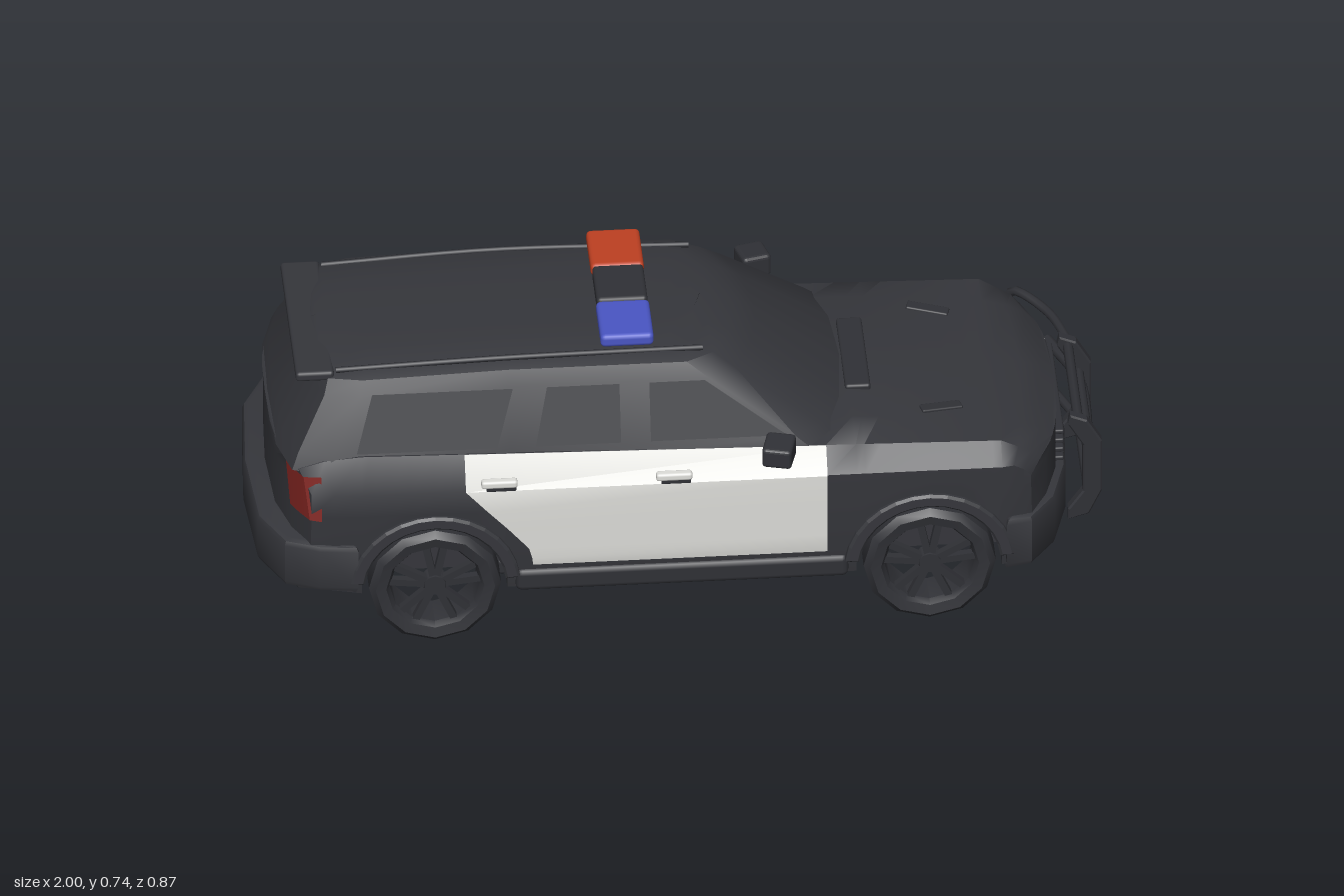
import * as THREE from 'three';
import { toCreasedNormals } from 'three/addons/utils/BufferGeometryUtils.js';
import { RoundedBoxGeometry } from 'three/addons/geometries/RoundedBoxGeometry.js';

const mat = (name, color, side = THREE.FrontSide) => {
  const m = new THREE.MeshStandardMaterial({ color, side });
  m.name = name;
  return m;
};
const M = {
  paint: mat('blackPaint', 0x35363b),
  trim: mat('blackTrim', 0x303136, THREE.DoubleSide),
  glass: mat('darkGlass', 0x323338),
  white: mat('whitePaint', 0xdededa),
  blue: mat('blueLens', 0x4a56c4),
  red: mat('redLens', 0xbe4022),
  tail: mat('tailRed', 0x7e2420),
};
const V = (x, y, z) => new THREE.Vector3(x, y, z);
const V2 = (x, y) => new THREE.Vector2(x, y);
const WHEEL_X = 0.58, WHEEL_R = 0.155, ARCH_R = 0.17, W = 0.375;

// Surface through rows of points; closed joins each row's end to its start
function surface(rows, flip = false, closed = false) {
  const n = rows[0].length, idx = [];
  for (let i = 0; i < rows.length - 1; i++) {
    for (let j = 0; j < (closed ? n : n - 1); j++) {
      const a = i * n + j, b = a + n, d = i * n + (j + 1) % n, c = d + n;
      if (flip) idx.push(a, c, b, a, d, c);
      else idx.push(a, b, c, a, c, d);
    }
  }
  const g = new THREE.BufferGeometry().setFromPoints(rows.flat());
  g.setIndex(idx);
  return toCreasedNormals(g, 0.65);
}
const mirrorRing = half => [...half, ...half.slice(1, -1).reverse().map(p => V(p.x, p.y, -p.z))];

// Rounds the nose and tail in plan
function wrap(p) {
  const k = Math.pow(Math.abs(p.z) / 0.38, 3);
  if (p.x > 0.75) p.x -= (p.x - 0.75) / 0.17 * 0.11 * k;
  else if (p.x < -0.75) p.x += (-0.75 - p.x) / 0.25 * 0.12 * k;
  return p;
}
const shoulder = x => 0.483 - 0.0235 * x;

// Lower body cross-section at one station
function section({ x, top, sh = shoulder(x), w = W, fl = 0.13, yb = fl, zs = 1 }) {
  const pts = [[fl, 0], [fl, 0.265], [yb, 0.265], [yb, w - 0.02], [Math.max(0.22, yb), w - 0.005],
    [Math.min(0.36, sh - 0.05), w], [Math.min(0.42, sh - 0.02), w], [sh, w - 0.045],
    [top - 0.008, w - 0.13], [top, 0]];
  return mirrorRing(pts.map(([y, z]) => wrap(V(x, y, z * zs))));
}

function bodyGeometry() {
  const st = [];
  const tail = { x: -0.95, top: 0.475, sh: 0.465, w: 0.36, fl: 0.16 };
  for (const zs of [0, 0.5, 0.8, 1]) st.push({ ...tail, zs });
  st.push({ x: -0.87, top: 0.485, sh: 0.49, w: 0.37, fl: 0.14 });
  const arch = (cx, topAt) => {
    for (const d of [-0.1705, -0.17, -0.15, -0.11, -0.06, 0, 0.06, 0.11, 0.15, 0.17, 0.1705]) {
      const yb = Math.abs(d) > ARCH_R ? 0.13 : WHEEL_R + Math.sqrt(ARCH_R * ARCH_R - d * d);
      st.push({ x: cx + d, top: topAt(cx + d), yb });
    }
  };
  arch(-WHEEL_X, () => 0.49);
  st.push({ x: 0.34, top: 0.5 });
  arch(WHEEL_X, x => 0.503 - 0.09 * (x - 0.41));
  st.push({ x: 0.82, top: 0.458, sh: 0.442, w: 0.37 }, { x: 0.87, top: 0.44, sh: 0.425, w: 0.365 });
  for (const zs of [1, 0.8, 0.5, 0]) st.push({ x: 0.9, top: 0.412, sh: 0.402, w: 0.358, fl: 0.15, zs });
  return surface(st.map(section), false, true);
}

// Cabin built from stacked plan rings
function cabinGeometry() {
  const ring = (y, xr, xf, z, zs = 1) => mirrorRing([
    [xr, 0], [xr + 0.01, 0.6], [xr + 0.04, 0.92], [xr + 0.12, 1], [-0.4, 1], [xf - 0.13, 1],
    [xf - 0.065, 0.86], [xf - 0.02, 0.5], [xf, 0],
  ].map(([x, f]) => V(x, y - 0.04 * Math.max(0, -0.45 - x) * (y > 0.6), z * f * zs)));
  return surface([ring(0.46, -0.95, 0.45, 0.338), ring(0.5, -0.935, 0.4, 0.324), ring(0.64, -0.87, 0.2, 0.27),
    ring(0.675, -0.86, 0.15, 0.25), ring(0.688, -0.85, 0.1, 0.215), ring(0.694, -0.84, 0.07, 0.21, 0.6),
    ring(0.697, -0.84, 0.07, 0.21, 0)], true, true);
}

export function createModel() {
  const root = new THREE.Group();
  root.name = 'patrolCar';
  const add = (name, geo, material, x = 0, y = 0, z = 0, parent = root) => {
    const m = new THREE.Mesh(geo, material);
    m.name = name;
    m.position.set(x, y, z);
    parent.add(m);
    return m;
  };
  const box = (name, m, w, h, d, x, y, z, r = 0.008) =>
    add(name, new RoundedBoxGeometry(w, h, d, 2, Math.min(r, w / 3, h / 3, d / 3)), m, x, y, z);
  const tube = (name, pts, r, m = M.trim) =>
    add(name, new THREE.TubeGeometry(new THREE.CatmullRomCurve3(pts, false, 'centripetal'), pts.length * 4, r, 8), m);

  add('body', bodyGeometry(), M.paint);
  add('cabin', cabinGeometry(), M.paint);

  // Bumpers: plan outline extruded downwards
  const bumper = (name, half, top, h) => {
    const shape = new THREE.Shape([...half, ...half.slice(0, -1).reverse().map(p => V2(p.x, -p.y))]);
    const g = new THREE.ExtrudeGeometry(shape, { depth: h - 0.03, bevelThickness: 0.015, bevelSize: 0.015, bevelOffset: -0.015, bevelSegments: 2 });
    g.rotateX(Math.PI / 2);
    add(name, toCreasedNormals(g, 0.6), M.paint, 0, top - 0.015, 0);
  };
  bumper('rearBumper', [V2(-0.76, 0.383), V2(-0.85, 0.372), V2(-0.93, 0.34), V2(-0.985, 0.23), V2(-1, 0)], 0.28, 0.13);
  bumper('rearValance', [V2(-0.76, 0.36), V2(-0.9, 0.33), V2(-0.96, 0.2), V2(-0.965, 0)], 0.18, 0.05);
  bumper('frontBumper', [V2(0.76, 0.386), V2(0.82, 0.372), V2(0.88, 0.29), V2(0.915, 0.16), V2(0.925, 0)], 0.275, 0.14);
  bumper('frontLip', [V2(0.76, 0.34), V2(0.82, 0.31), V2(0.88, 0.2), V2(0.89, 0)], 0.16, 0.06);
  box('underTray', M.trim, 0.85, 0.04, 0.54, 0, 0.125, 0);

  // Grille, hood and roof details
  for (const y of [0.3, 0.325, 0.35, 0.375]) box('grilleSlat', M.trim, 0.03, 0.012, 0.36, 0.895, y, 0, 0.004);
  box('cowl', M.trim, 0.06, 0.02, 0.28, 0.43, 0.498, 0);
  box('spoiler', M.paint, 0.09, 0.025, 0.46, -0.85, 0.664, 0, 0.01);

  for (const s of [1, -1]) {
    const side = s > 0 ? 'left' : 'right';
    const flip = s < 0;

    // White door panel following the body side
    const doorRows = [[0.2, -0.35, 0.009], [0.22, -0.352, 0.005], [0.25, -0.36, 0.004], [0.31, -0.41, 0.002],
      [0.36, -0.455, 0], [0.42, -0.508, 0], [null, -0.508, 0.045]]
      .map(([y, x0, inset]) => [x0, 0.34].map(x => V(x, y ?? shoulder(x) + 0.002, s * (W - inset + 0.004))));
    add(side + 'DoorPanel', surface(doorRows, !flip), M.white);
    for (const x of [-0.43, -0.02]) {
      box(side + 'HandleRecess', M.trim, 0.07, 0.014, 0.008, x + 0.005, 0.427, s * 0.378, 0.003);
      box(side + 'Handle', M.white, 0.085, 0.02, 0.022, x, 0.444, s * 0.381);
    }

    // Side windows lying on the cabin wall
    const onWall = (x, y) => V(x, y, s * (0.324 - 0.386 * (y - 0.5) + 0.003));
    for (const [a, b, c, d] of [[-0.07, 0.25, -0.07, 0.06], [-0.34, -0.14, -0.31, -0.14], [-0.76, -0.43, -0.72, -0.39]])
      add(side + 'Window', surface([[onWall(a, 0.505), onWall(b, 0.505)], [onWall(c, 0.637), onWall(d, 0.637)]], !flip), M.glass);

    // Sill, roof rail, hood vent
    box(side + 'Sill', M.trim, 0.78, 0.06, 0.05, 0, 0.155, s * 0.348, 0.015);
    tube(side + 'RoofRail', [V(-0.8, 0.672, s * 0.215), V(-0.4, 0.689, s * 0.22), V(0.06, 0.686, s * 0.21)], 0.007);
    box(side + 'HoodVent', M.trim, 0.1, 0.012, 0.03, 0.62, 0.477, s * 0.2, 0.004).rotation.set(0, s * 0.25, -0.09);

    // Mirror
    const mg = new RoundedBoxGeometry(0.07, 0.06, 0.076, 2, 0.01);
    const mp = mg.attributes.position;
    for (let i = 0; i < mp.count; i++) if (mp.getZ(i) * s > 0) mp.setY(i, mp.getY(i) * 0.85);
    mg.computeVertexNormals();
    add(side + 'Mirror', mg, M.trim, 0.225, 0.507, s * 0.392).rotation.y = -s * 0.25;
    box(side + 'MirrorArm', M.trim, 0.04, 0.018, 0.07, 0.23, 0.483, s * 0.345);

    // Headlight strip on the nose, tail light on the rear corner
    const onNose = (y, z) => { const p = wrap(V(0.9, y, s * z)); p.x += 0.006; return p; };
    const lamp = [[0.347, 0.357, 0.397], [0.332, 0.353, 0.39], [0.331, 0.353, 0.372], [0.29, 0.355, 0.37],
      [0.24, 0.362, 0.377], [0.205, 0.368, 0.379], [0.186, 0.384, 0.388]];
    add(side + 'Headlight', surface([0, 1].map(k => lamp.map(l => onNose(l[1 + k], l[0]))), flip), M.white);
    const onTail = (y, z) => { const p = wrap(V(-0.95, y, s * z)); p.x -= 0.006; return p; };
    const cols = [0.29, 0.325, 0.362];
    const light = [0.35, 0.46].map((y, k) => [...cols.map(z => onTail(y, z - 0.02 * k)), V(-0.845, y, s * (0.372 - 0.025 * k))]);
    add(side + 'TailLight', surface(light, !flip), M.tail);

    // Wheels and arch flares
    for (const cx of [WHEEL_X, -WHEEL_X]) {
      const wheel = new THREE.Group();
      wheel.name = side + (cx > 0 ? 'FrontWheel' : 'RearWheel');
      wheel.position.set(cx, WHEEL_R, s * 0.33);
      wheel.rotation.y = s > 0 ? 0 : Math.PI;
      root.add(wheel);
      const prof = [[0.108, -0.05], [0.14, -0.055], [0.155, -0.04], [0.155, 0.04], [0.14, 0.055], [0.115, 0.05],
        [0.106, 0.035], [0.108, -0.05]].map(p => V2(...p));
      add('tyre', toCreasedNormals(new THREE.LatheGeometry(prof, 12).rotateX(Math.PI / 2), 0.6), M.trim, 0, 0, 0, wheel);
      add('hub', new THREE.CylinderGeometry(0.026, 0.032, 0.03, 10).rotateX(Math.PI / 2), M.trim, 0, 0, 0.028, wheel);
      for (let i = 0; i < 10; i++) {
        const a = Math.floor(i / 2) * Math.PI * 0.4 + (i % 2 ? 0.2 : -0.2) + Math.PI / 2;
        const sp = add('spoke', new THREE.BoxGeometry(0.095, 0.017, 0.018), M.trim, Math.cos(a) * 0.063, Math.sin(a) * 0.063, 0.03, wheel);
        sp.rotation.z = a;
      }
      const ring = new THREE.Shape();
      ring.absarc(0, 0, 0.2, 0.1, Math.PI - 0.1, false);
      ring.absarc(0, 0, 0.166, Math.PI - 0.1, 0.1, true);
      const flare = new THREE.ExtrudeGeometry(ring, { depth: 0.03, curveSegments: 7, bevelSize: 0.006, bevelThickness: 0.006, bevelOffset: -0.006, bevelSegments: 1 });
      add(side + 'ArchFlare', flare, M.paint, cx, WHEEL_R, s * 0.365 - 0.015);
    }

    // Push bar upright
    const up = new THREE.Shape([[0.92, 0.12], [0.97, 0.135], [1, 0.2], [1, 0.34], [0.965, 0.4], [0.925, 0.416],
      [0.92, 0.39], [0.955, 0.33], [0.955, 0.2], [0.92, 0.15]].map(p => V2(...p)));
    add('pushBarUpright', new THREE.ExtrudeGeometry(up, { depth: 0.02, bevelSize: 0.004, bevelThickness: 0.004, bevelOffset: -0.004, bevelSegments: 1 }),
      M.trim, 0, 0, s * 0.16 - 0.01);
  }

  // Push bar rails and the single side hoop
  for (const [x, y, z] of [[0.945, 0.39, -0.16], [0.97, 0.315, -0.16], [0.97, 0.18, -0.16]])
    tube('pushBarRail', [V(x, y, 0.16), V(x, y, z)], 0.012);
  tube('pushBarRail', [V(0.97, 0.29, 0.16), V(0.97, 0.29, -0.16), V(0.91, 0.29, -0.32)], 0.014);
  tube('pushBarHoop', [V(0.95, 0.39, -0.16), V(0.91, 0.39, -0.29), V(0.84, 0.388, -0.385), V(0.825, 0.365, -0.4),
    V(0.825, 0.225, -0.4), V(0.85, 0.187, -0.37), V(0.91, 0.18, -0.29), V(0.965, 0.18, -0.16)], 0.011);

  // Roof light bar
  box('lightBarCentre', M.trim, 0.12, 0.036, 0.142, -0.117, 0.72, 0, 0.01);
  box('lightBarBlue', M.blue, 0.125, 0.034, 0.15, -0.117, 0.719, 0.145, 0.012);
  box('lightBarRed', M.red, 0.125, 0.034, 0.15, -0.117, 0.719, -0.145, 0.012);
  box('lightBarBase', M.trim, 0.08, 0.02, 0.38, -0.117, 0.697, 0);

  return root;
}
